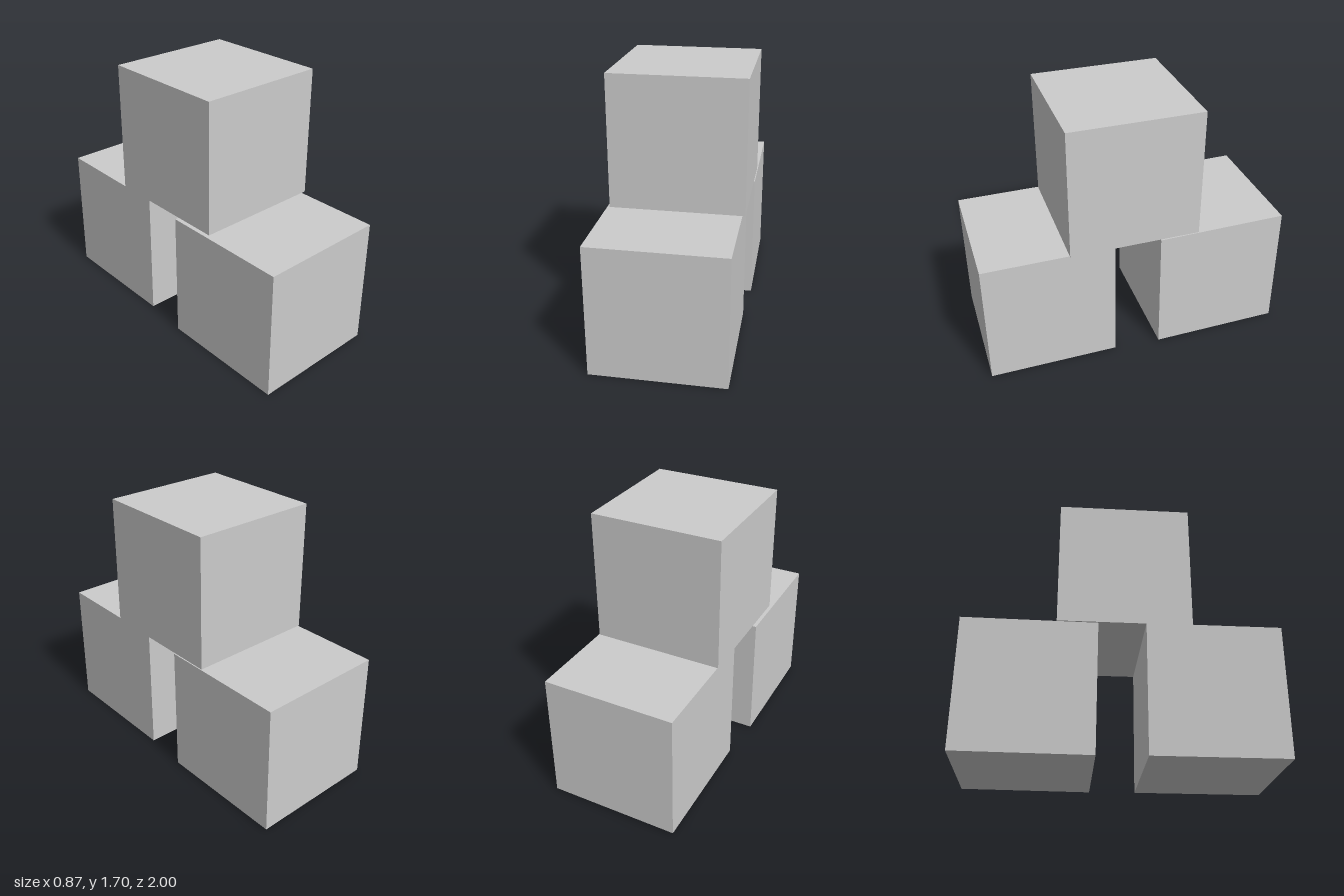
import * as THREE from 'three';

const SIZE = 0.848;

export function createModel() {
  const group = new THREE.Group();
  const material = new THREE.MeshStandardMaterial({ color: 0xcccccc, flatShading: true });
  const geometry = new THREE.BoxGeometry(SIZE, SIZE, SIZE);

  const addCube = (name, x, y, z, tilt = 0) => {
    const cube = new THREE.Mesh(geometry, material);
    cube.name = name;
    cube.position.set(x, y, z);
    cube.rotation.x = tilt;
    group.add(cube);
  };

  // Two cubes on the ground, the back one leaning very slightly
  addCube('frontCube', -0.014, 0.426, 0.576);
  addCube('backCube', 0.011, 0.433, -0.572, 0.009);
  // One cube bridging the gap on top
  addCube('topCube', 0.006, 1.281, 0.022);

  return group;
}
